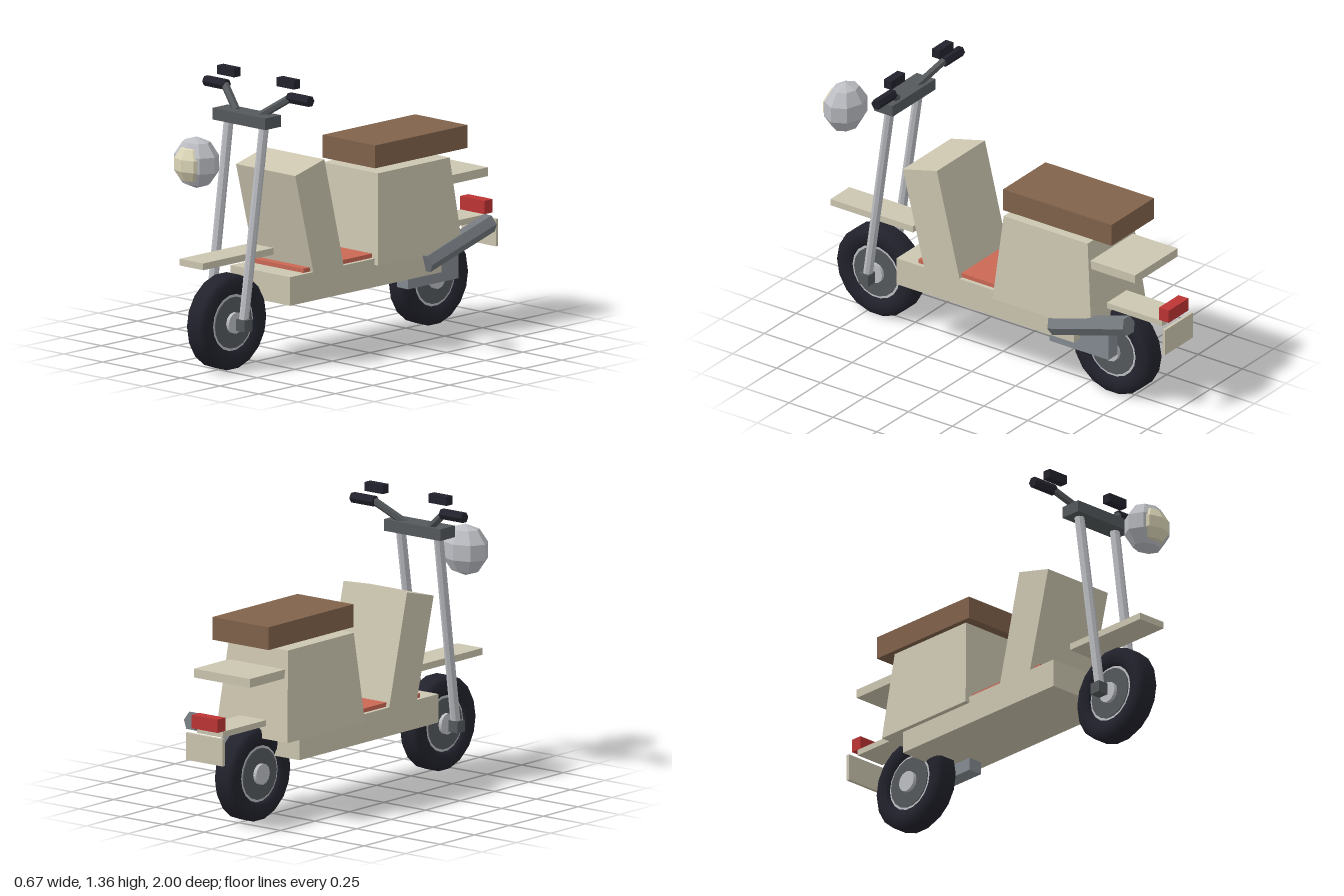
import * as THREE from 'three';

const mat = (name, color) => {
  const m = new THREE.MeshStandardMaterial({ color });
  m.name = name;
  return m;
};

export function createModel() {
  const cream = mat('creamPaint', 0xccc6b0);
  const brown = mat('brownLeather', 0x80624a);
  const coral = mat('coralMat', 0xcc6855);
  const dark = mat('darkMetal', 0x55595c);
  const rubber = mat('blackRubber', 0x22222d);
  const silver = mat('silverMetal', 0xbcbec3);
  const grey = mat('engineGrey', 0x858b92);
  const steel = mat('exhaustSteel', 0x74797e);
  const lensMat = mat('lensCream', 0xdcd6b8);
  const red = mat('redLight', 0xbd3434);

  const model = new THREE.Group();
  model.name = 'scooter';

  const add = (name, geometry, material, parent = model) => {
    const mesh = new THREE.Mesh(geometry, material);
    mesh.name = name;
    parent.add(mesh);
    return mesh;
  };

  // Box given by its extents on each axis
  const box = (name, material, [x0, x1], [y0, y1], [z0, z1]) => {
    const mesh = add(name, new THREE.BoxGeometry(x1 - x0, y1 - y0, z1 - z0), material);
    mesh.position.set((x0 + x1) / 2, (y0 + y1) / 2, (z0 + z1) / 2);
    return mesh;
  };

  // Faceted rod between two points
  const rod = (name, material, a, b, radius, sides = 6, twist = 0) => {
    const from = new THREE.Vector3(...a), to = new THREE.Vector3(...b);
    const dir = to.clone().sub(from);
    const g = new THREE.CylinderGeometry(radius, radius, dir.length(), sides).toNonIndexed();
    g.rotateY(twist);
    g.computeVertexNormals();
    const mesh = add(name, g, material);
    mesh.position.copy(from).add(to).multiplyScalar(0.5);
    mesh.quaternion.setFromUnitVectors(new THREE.Vector3(0, 1, 0), dir.normalize());
    return mesh;
  };

  // Flat shaded ball
  const ball = (name, material, radius, depth, y, z) => {
    const g = new THREE.SphereGeometry(radius, 8, 5).scale(1, 1, depth / radius).toNonIndexed();
    g.computeVertexNormals();
    add(name, g, material).position.set(0, y, z);
  };

  // Wheels: rounded tyre, rim, recessed disc and hub
  const half = [[0.134, 0.042], [0.15, 0.055], [0.178, 0.06], [0.206, 0.056], [0.224, 0.038]];
  const tyreProfile = [
    ...half.map(([r, w]) => new THREE.Vector2(r, -w)),
    ...half.slice().reverse().map(([r, w]) => new THREE.Vector2(r, w)),
    new THREE.Vector2(0.134, -0.042),
  ];
  const wheel = (name, z) => {
    const g = new THREE.Group();
    g.name = name;
    add('tyre', new THREE.LatheGeometry(tyreProfile, 18), rubber, g);
    add('rim', new THREE.CylinderGeometry(0.14, 0.14, 0.08, 18), silver, g);
    add('disc', new THREE.CylinderGeometry(0.122, 0.122, 0.09, 18), dark, g);
    add('hub', new THREE.CylinderGeometry(0.05, 0.05, 0.125, 12), silver, g);
    g.rotation.z = Math.PI / 2;
    g.position.set(0, 0.229, z);
    model.add(g);
  };
  wheel('frontWheel', 0.695);
  wheel('rearWheel', -0.65);

  // Floor, mat and mudguards
  box('floor', cream, [-0.19, 0.19], [0.295, 0.43], [-0.54, 0.47]);
  box('floorMat', coral, [-0.17, 0.17], [0.42, 0.45], [-0.14, 0.36]);
  box('frontMudguard', cream, [-0.075, 0.075], [0.518, 0.55], [0.46, 0.93]);
  box('rearMudguard', cream, [-0.078, 0.078], [0.46, 0.488], [-0.96, -0.49]);

  // Leaning leg shield
  const shield = new THREE.Shape();
  [[0.435, 0.903], [0.241, 0.952], [0.107, 0.41], [0.308, 0.41]].forEach(([z, y], i) =>
    i ? shield.lineTo(-z, y) : shield.moveTo(-z, y));
  const shieldGeo = new THREE.ExtrudeGeometry(shield, { depth: 0.38, bevelEnabled: false });
  shieldGeo.translate(0, 0, -0.19).rotateY(Math.PI / 2);
  add('legShield', shieldGeo, cream);

  // Body under the seat, narrowing upwards
  const bodyGeo = new THREE.BoxGeometry(2, 1, 2).toNonIndexed();
  const p = bodyGeo.attributes.position;
  for (let i = 0; i < p.count; i++) {
    const top = p.getY(i) > 0, front = p.getZ(i) > 0;
    p.setXYZ(i, p.getX(i) * (top ? 0.177 : 0.214), top ? 0.825 : 0.4,
      front ? (top ? -0.13 : -0.093) : (top ? -0.608 : -0.655));
  }
  bodyGeo.computeVertexNormals();
  add('bodyShell', bodyGeo, cream);

  // Seat and rear fittings
  box('seat', brown, [-0.168, 0.168], [0.849, 0.957], [-0.737, -0.12]);
  box('rearRack', cream, [-0.168, 0.168], [0.694, 0.736], [-0.872, -0.58]);
  box('tailLight', red, [-0.078, 0.078], [0.489, 0.552], [-0.998, -0.942]);
  box('rearPlate', cream, [-0.11, 0.11], [0.335, 0.464], [-1, -0.985]);

  // Engine and exhaust on the left side
  box('engine', grey, [0.07, 0.143], [0.234, 0.41], [-0.702, -0.367]);
  rod('exhaust', steel, [0.195, 0.355, -0.425], [0.195, 0.481, -0.855], 0.047, 6, Math.PI / 6 + Math.PI / 3 );

  // Steering: clamp, forks, handlebars, grips and mirrors
  box('handlebarClamp', dark, [-0.169, 0.169], [1.145, 1.2], [0.508, 0.614]);
  for (const s of [-1, 1]) {
    const side = s > 0 ? 'left' : 'right';
    rod(side + 'Fork', silver, [s * 0.108, 0.23, 0.695], [s * 0.113, 1.17, 0.56], 0.023, 8);
    const axle = add(side + 'AxleCap', new THREE.BoxGeometry(0.055, 0.055, 0.055), dark);
    axle.position.set(s * 0.113, 0.228, 0.695);
    rod(side + 'Handlebar', dark, [s * 0.075, 1.19, 0.55], [s * 0.215, 1.288, 0.485], 0.019, 6);
    rod(side + 'Grip', rubber, [s * 0.2, 1.284, 0.484], [s * 0.335, 1.284, 0.484], 0.026, 6);
    const mirror = add(side + 'Mirror', new THREE.BoxGeometry(0.11, 0.042, 0.042), rubber);
    mirror.position.set(s * 0.191, 1.352, 0.482);
  }

  // Headlight and lens
  ball('headlight', silver, 0.122, 0.096, 1.013, 0.896);
  ball('headlightLens', lensMat, 0.092, 0.066, 1.01, 0.936);

  return model;
}
